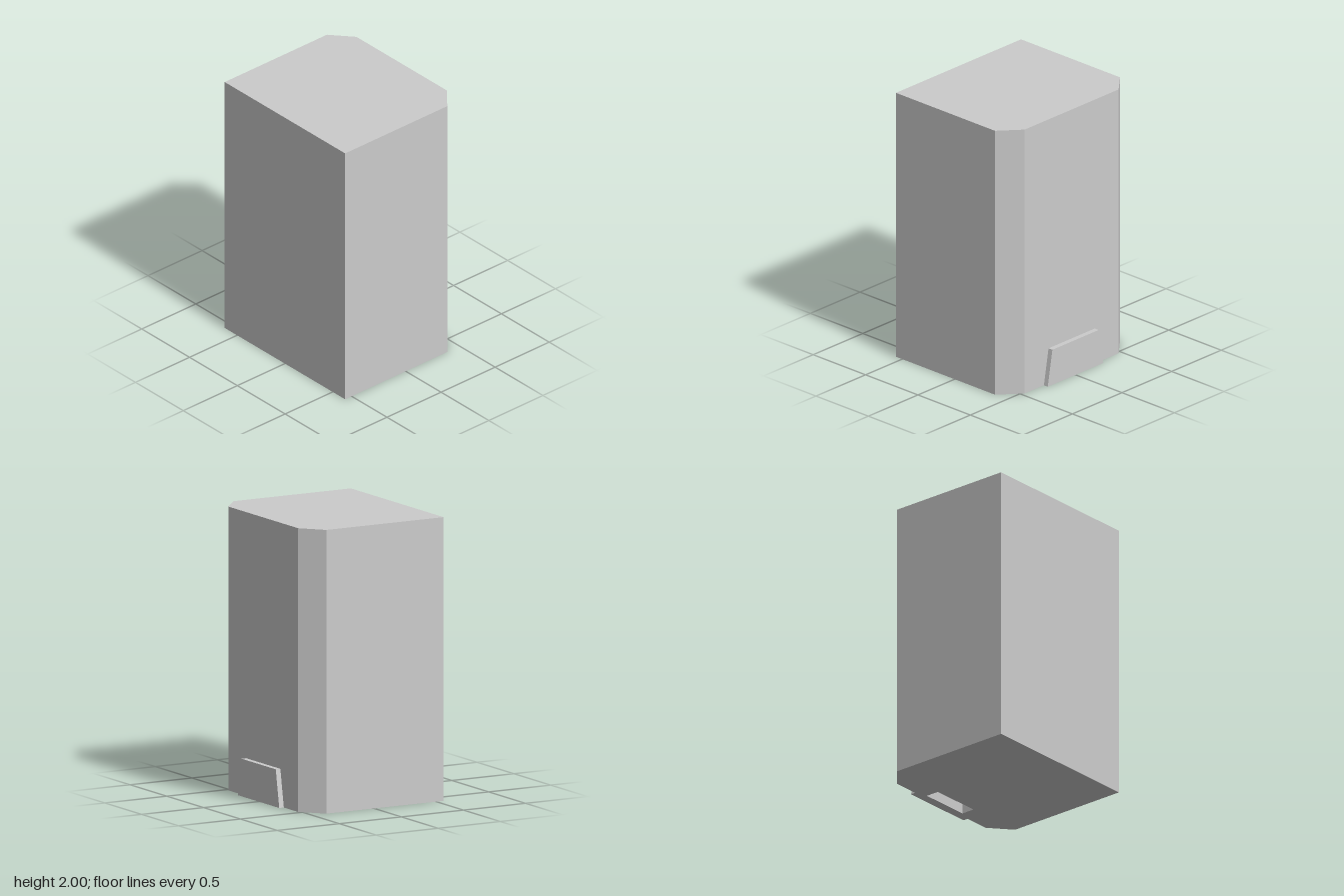
import * as THREE from 'three';

const material = new THREE.MeshStandardMaterial({ color: 0xcccccc, flatShading: true });

// Upright walls along a closed [x, z] outline; reversing the outline turns them inward
function wallGeometry(outline, y0, y1) {
  const positions = [];
  outline.forEach(([ax, az], i) => {
    const [bx, bz] = outline[(i + 1) % outline.length];
    positions.push(ax, y0, az, bx, y0, bz, bx, y1, bz, ax, y0, az, bx, y1, bz, ax, y1, az);
  });
  const geometry = new THREE.BufferGeometry();
  geometry.setAttribute('position', new THREE.Float32BufferAttribute(positions, 3));
  geometry.computeVertexNormals();
  return geometry;
}

const toPoints = (outline) => outline.map(([x, z]) => new THREE.Vector2(x, z));

// Flat horizontal face, looking up or down
function faceGeometry(outline, y, up, hole) {
  const shape = new THREE.Shape(toPoints(outline.map(([x, z]) => [x, up ? -z : z])));
  if (hole) shape.holes.push(new THREE.Path(toPoints(hole)));
  return new THREE.ShapeGeometry(shape).rotateX(up ? -Math.PI / 2 : Math.PI / 2).translate(0, y, 0);
}

export function createModel() {
  const model = new THREE.Group();
  const add = (name, geometry) => {
    const mesh = new THREE.Mesh(geometry, material);
    mesh.name = name;
    model.add(mesh);
  };

  const height = 2;
  const slotDepth = 0.2;
  // Block plan with two chamfered corners
  const plan = [[-0.56, 0.63], [0.385, 0.63], [0.52, 0.473], [0.52, -0.473], [0.385, -0.63], [-0.56, -0.63]];
  // Slot opening in the underside
  const slot = [[0.39, 0.19], [0.49, 0.19], [0.49, -0.19], [0.39, -0.19]];

  add('bodyWalls', wallGeometry(plan, 0, height));
  add('bodyTop', faceGeometry(plan, height, true));
  add('bodyBottom', faceGeometry(plan, 0, false, slot));
  add('slotWalls', wallGeometry([...slot].reverse(), 0, slotDepth));
  add('slotCeiling', faceGeometry(slot, slotDepth, false));

  // Tapered plate low on the chamfered side
  const plate = new THREE.Shape(toPoints([[-0.28, 0], [0.28, 0], [0.233, 0.265], [-0.233, 0.265]]));
  add('sidePlate', new THREE.ExtrudeGeometry(plate, { depth: 0.037, bevelEnabled: false })
    .rotateY(Math.PI / 2).translate(0.52, 0, 0));

  return model;
}
